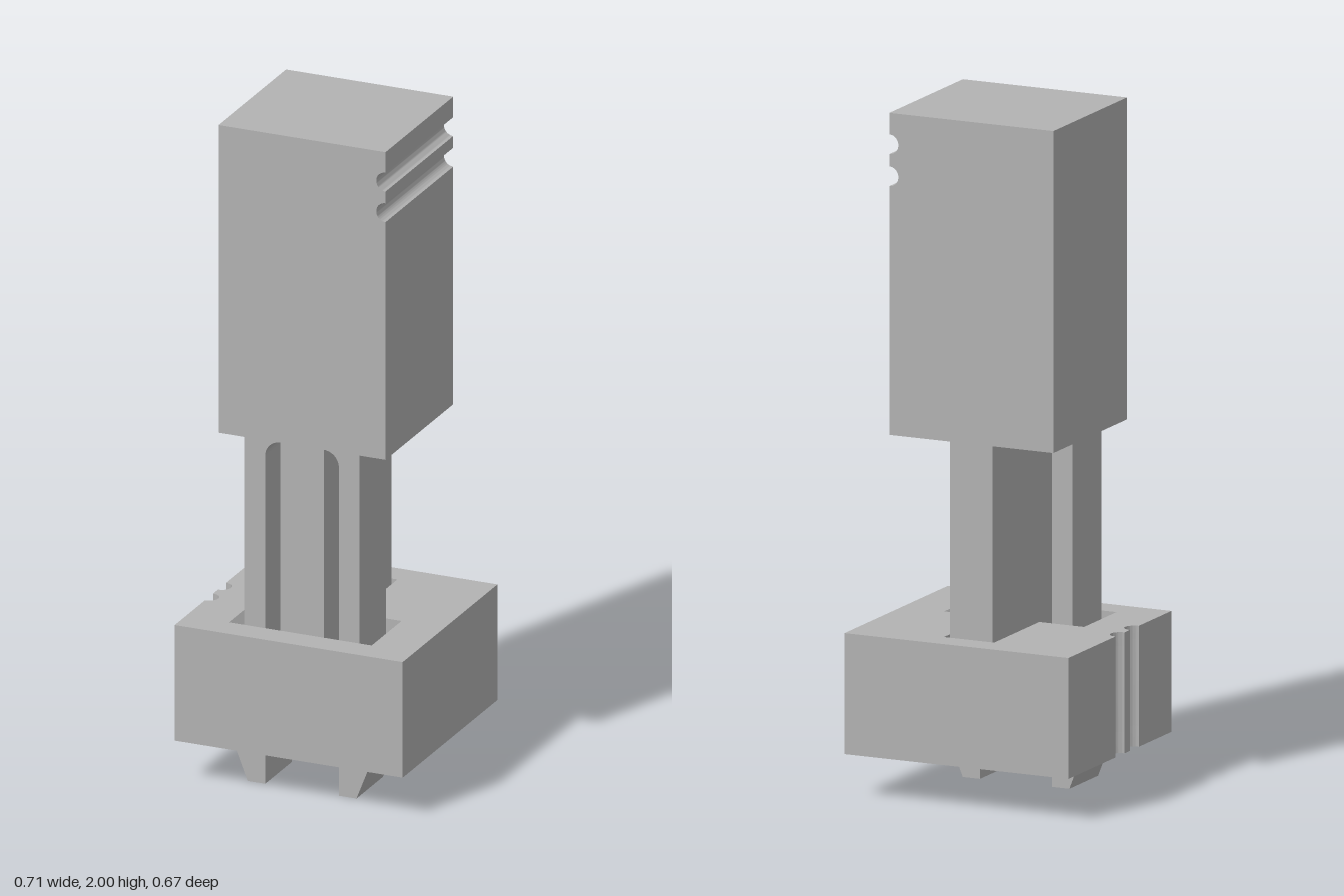
import * as THREE from 'three';
import { toCreasedNormals } from 'three/addons/utils/BufferGeometryUtils.js';

const V = (x, y) => new THREE.Vector2(x, y);

// Extrude a front-facing (x, y) shape between two z values
function extrudeZ(shape, z0, z1) {
  const geo = new THREE.ExtrudeGeometry(shape, { depth: z1 - z0, bevelEnabled: false, curveSegments: 16 });
  geo.translate(0, 0, z0);
  return toCreasedNormals(geo, 0.5);
}

// Extrude a plan (x, -z) shape between two heights
function extrudeY(shape, y0, y1) {
  const geo = new THREE.ExtrudeGeometry(shape, { depth: y1 - y0, bevelEnabled: false, curveSegments: 16 });
  geo.rotateX(-Math.PI / 2);
  geo.translate(0, y0, 0);
  return toCreasedNormals(geo, 0.5);
}

// Base plan with two vertical round grooves on its -x side
function basePlan(...holes) {
  const s = new THREE.Shape([V(-0.357, -0.333), V(0.357, -0.333), V(0.357, 0.333), V(-0.357, 0.333)]);
  for (const c of [0, -0.093]) {
    s.lineTo(-0.357, c + 0.03);
    s.absarc(-0.357, c, 0.029, Math.PI / 2, -Math.PI / 2, true);
  }
  s.lineTo(-0.357, -0.333);
  for (const h of holes) s.holes.push(new THREE.Path(h));
  return s;
}

// T-shaped socket: wide at the front, narrow at the back
const tSocket = (w) => [
  V(-w, -0.25), V(w, -0.25), V(w, -0.04), V(0.08, -0.04),
  V(0.08, 0.252), V(-0.08, 0.252), V(-0.08, -0.04), V(-w, -0.04),
];

const prongHole = (s) => [
  V(s * 0.073, -0.25), V(s * 0.194, -0.25), V(s * 0.194, -0.04), V(s * 0.073, -0.04),
];

export function createModel() {
  const group = new THREE.Group();
  const grey = new THREE.MeshStandardMaterial({ color: 0xb3b3b3 });
  grey.name = 'plainGrey';

  const add = (name, geo, parent = group) => {
    const mesh = new THREE.Mesh(geo, grey);
    mesh.name = name;
    parent.add(mesh);
    return mesh;
  };

  // Upper block with two horizontal grooves on its +x side
  const block = new THREE.Shape([V(-0.262, 1.055), V(0.261, 1.055)]);
  for (const c of [1.814, 1.908]) {
    block.lineTo(0.261, c - 0.03);
    block.absarc(0.261, c, 0.029, -Math.PI / 2, Math.PI / 2, true);
  }
  block.lineTo(0.261, 2);
  block.lineTo(-0.262, 2);
  add('upperBlock', extrudeZ(block, -0.238, 0.238));

  // Central rib running down into the socket
  const rib = new THREE.BoxGeometry(0.136, 0.865, 0.476);
  rib.translate(0, 0.19 + 0.865 / 2, 0);
  add('centralRib', rib);

  // Snap prongs with barbed feet and a filleted root
  const prong = new THREE.Shape([
    V(0.115, 0), V(0.17, 0), V(0.213, 0.11), V(0.21, 0.116), V(0.18, 0.121), V(0.18, 1.055), V(0.068, 1.055),
  ]);
  prong.absarc(0.068, 1.008, 0.047, Math.PI / 2, 0, true);
  prong.lineTo(0.115, 0);
  const outline = prong.getPoints(12);
  for (const s of [1, -1]) {
    const side = new THREE.Shape(outline.map((p) => V(p.x * s, p.y)));
    add(s > 0 ? 'leftProng' : 'rightProng', extrudeZ(side, 0.052, 0.238));
  }

  // Base block in layers: floor with prong holes, socket, socket mouth
  const base = new THREE.Group();
  base.name = 'base';
  group.add(base);
  add('baseFloor', extrudeY(basePlan(prongHole(1), prongHole(-1)), 0.128, 0.19), base);
  add('baseSocket', extrudeY(basePlan(tSocket(0.194)), 0.19, 0.443), base);
  add('baseMouth', extrudeY(basePlan(tSocket(0.223)), 0.443, 0.483), base);

  // Lead-in chamfers at the sides of the socket mouth
  for (const s of [1, -1]) {
    const wedge = new THREE.Shape([V(s * 0.194, 0.443), V(s * 0.223, 0.443), V(s * 0.223, 0.483)]);
    add('mouthChamfer', extrudeZ(wedge, 0.04, 0.25), base);
  }

  return group;
}
